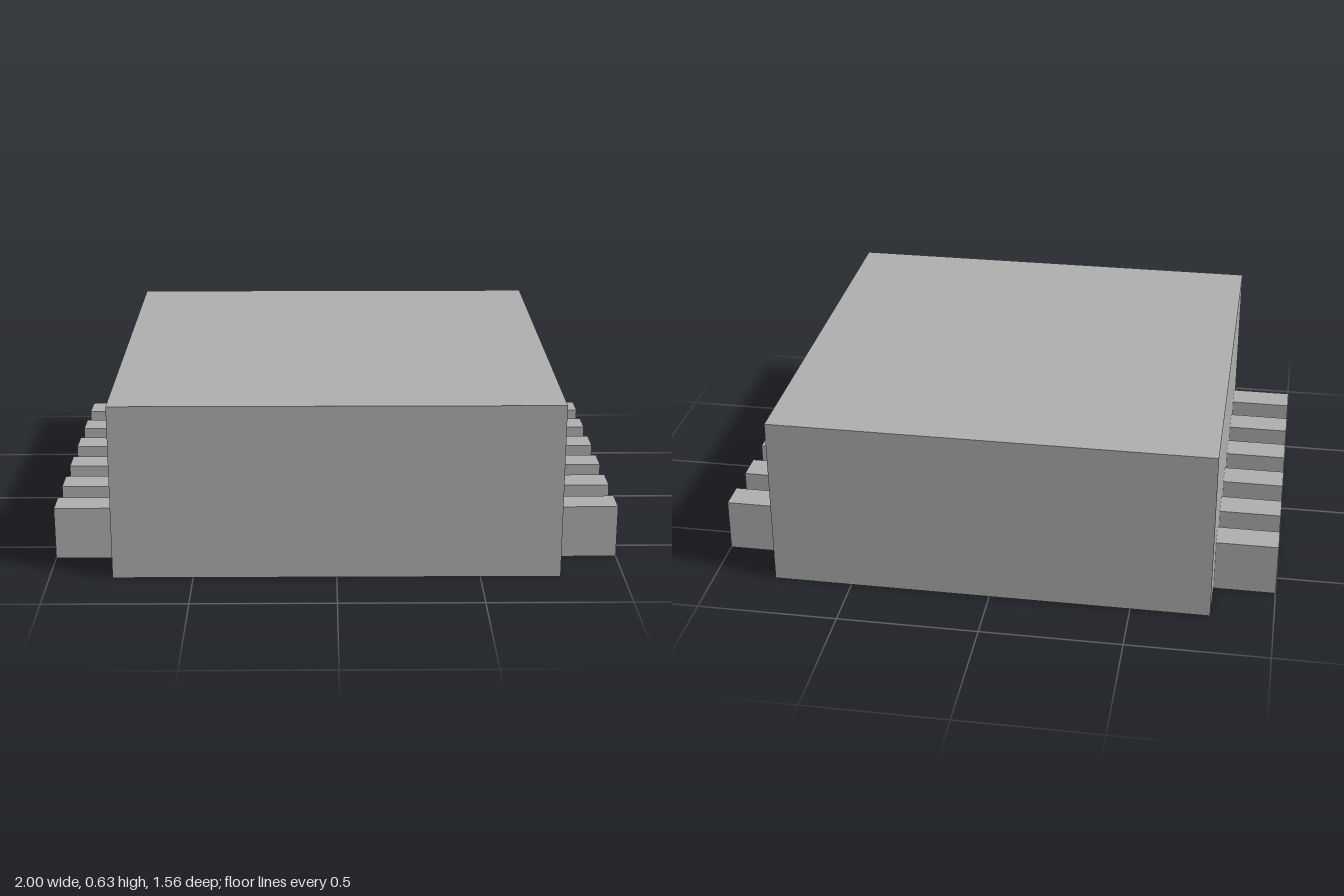
import * as THREE from 'three';

export function createModel() {
  const model = new THREE.Group();
  const grey = new THREE.MeshStandardMaterial({ color: 0xb0b0b0 });
  grey.name = 'grey';

  const bodyWidth = 1.56, bodyHeight = 0.626;
  const pinLength = 1 - bodyWidth / 2, pinHeight = 0.19, pinWidth = 0.108;
  const pinCount = 6, pitch = 0.219;

  // Square package body
  const body = new THREE.Mesh(new THREE.BoxGeometry(bodyWidth, bodyHeight, bodyWidth), grey);
  body.name = 'body';
  body.position.y = bodyHeight / 2;
  model.add(body);

  // A row of contact pins along each side, flush with the underside
  const pinGeometry = new THREE.BoxGeometry(pinLength, pinHeight, pinWidth);
  for (const [name, side] of [['leftPins', 1], ['rightPins', -1]]) {
    const row = new THREE.Group();
    row.name = name;
    for (let i = 0; i < pinCount; i++) {
      const pin = new THREE.Mesh(pinGeometry, grey);
      pin.name = 'pin';
      pin.position.set(side * (1 - pinLength / 2), pinHeight / 2, (i - (pinCount - 1) / 2) * pitch);
      row.add(pin);
    }
    model.add(row);
  }
  return model;
}
